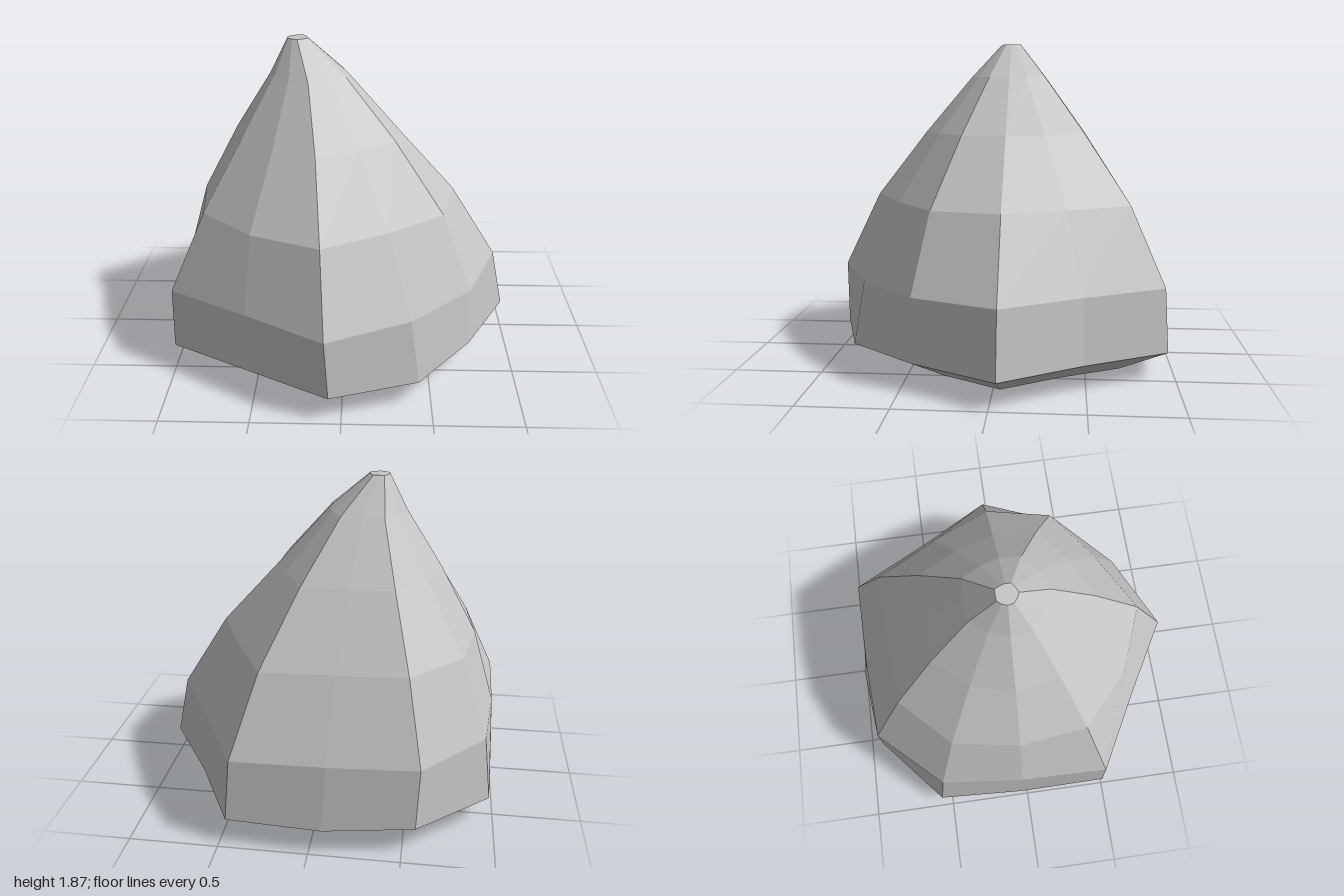
import * as THREE from 'three';

const SIDES = 12;
const CENTRE_Z = -0.04;

// Spoke radii of irregular cross-sections, every 30 degrees from +x towards +z
const foot     = [0.76, 0.66, 0.69, 0.70, 0.63, 0.74, 0.645, 0.73, 0.70, 0.70, 0.76, 0.64];
const rim      = [1.07, 0.94, 0.995, 1.02, 0.905, 1.07, 0.93, 1.04, 1.00, 0.95, 1.06, 0.90];
const shoulder = [1.015, 0.95, 0.935, 1.03, 0.89, 1.04, 0.89, 0.97, 0.99, 0.89, 1.04, 0.88];
const waist    = [0.765, 0.785, 0.72, 0.82, 0.77, 0.79, 0.735, 0.77, 0.77, 0.69, 0.82, 0.70];
const neck     = [0.45, 0.505, 0.47, 0.52, 0.48, 0.50, 0.49, 0.47, 0.50, 0.45, 0.52, 0.44];

// Levels from ground to peak; cx makes the peak lean towards -x
const levels = [
  { y: 0,    cx: -0.07,  scale: 1,     radii: foot },
  { y: 0.15, cx: -0.07,  scale: 1,     radii: rim },
  { y: 0.51, cx: -0.09,  scale: 1,     radii: shoulder },
  { y: 0.95, cx: -0.115, scale: 1,     radii: waist },
  { y: 1.34, cx: -0.15,  scale: 1,     radii: neck },
  { y: 1.67, cx: -0.20,  scale: 0.47,  radii: neck },
  { y: 1.87, cx: -0.27,  scale: 0.122, radii: neck },
];

function ringPoint(level, j) {
  const a = (j % SIDES) * Math.PI * 2 / SIDES;
  const r = level.radii[j % SIDES] * level.scale;
  return new THREE.Vector3(level.cx + r * Math.cos(a), level.y, CENTRE_Z + r * Math.sin(a));
}

function rockGeometry() {
  const pos = [], nor = [];
  const tri = (normal, ...corners) => {
    for (const p of corners) {
      pos.push(p.x, p.y, p.z);
      nor.push(normal.x, normal.y, normal.z);
    }
  };
  const up = new THREE.Vector3(0, 1, 0), down = new THREE.Vector3(0, -1, 0);
  const bottom = levels[0], top = levels[levels.length - 1];
  const centre = (l) => new THREE.Vector3(l.cx, l.y, CENTRE_Z);
  for (let j = 0; j < SIDES; j++) {
    // four-cornered facets between neighbouring levels, each with a single normal
    for (let i = 0; i < levels.length - 1; i++) {
      const a = ringPoint(levels[i], j), b = ringPoint(levels[i], j + 1);
      const c = ringPoint(levels[i + 1], j), d = ringPoint(levels[i + 1], j + 1);
      const n = d.clone().sub(a).cross(b.clone().sub(c)).normalize();
      tri(n, a, c, b);
      tri(n, b, c, d);
    }
    // flat underside and small flat peak
    tri(down, centre(bottom), ringPoint(bottom, j), ringPoint(bottom, j + 1));
    tri(up, centre(top), ringPoint(top, j + 1), ringPoint(top, j));
  }
  const geo = new THREE.BufferGeometry();
  geo.setAttribute('position', new THREE.Float32BufferAttribute(pos, 3));
  geo.setAttribute('normal', new THREE.Float32BufferAttribute(nor, 3));
  return geo;
}

export function createModel() {
  const stone = new THREE.MeshStandardMaterial({ color: 0xc5c5c5 });
  stone.name = 'light grey stone';
  const rock = new THREE.Mesh(rockGeometry(), stone);
  rock.name = 'rock';
  const group = new THREE.Group();
  group.name = 'pointed rock';
  group.add(rock);
  return group;
}
